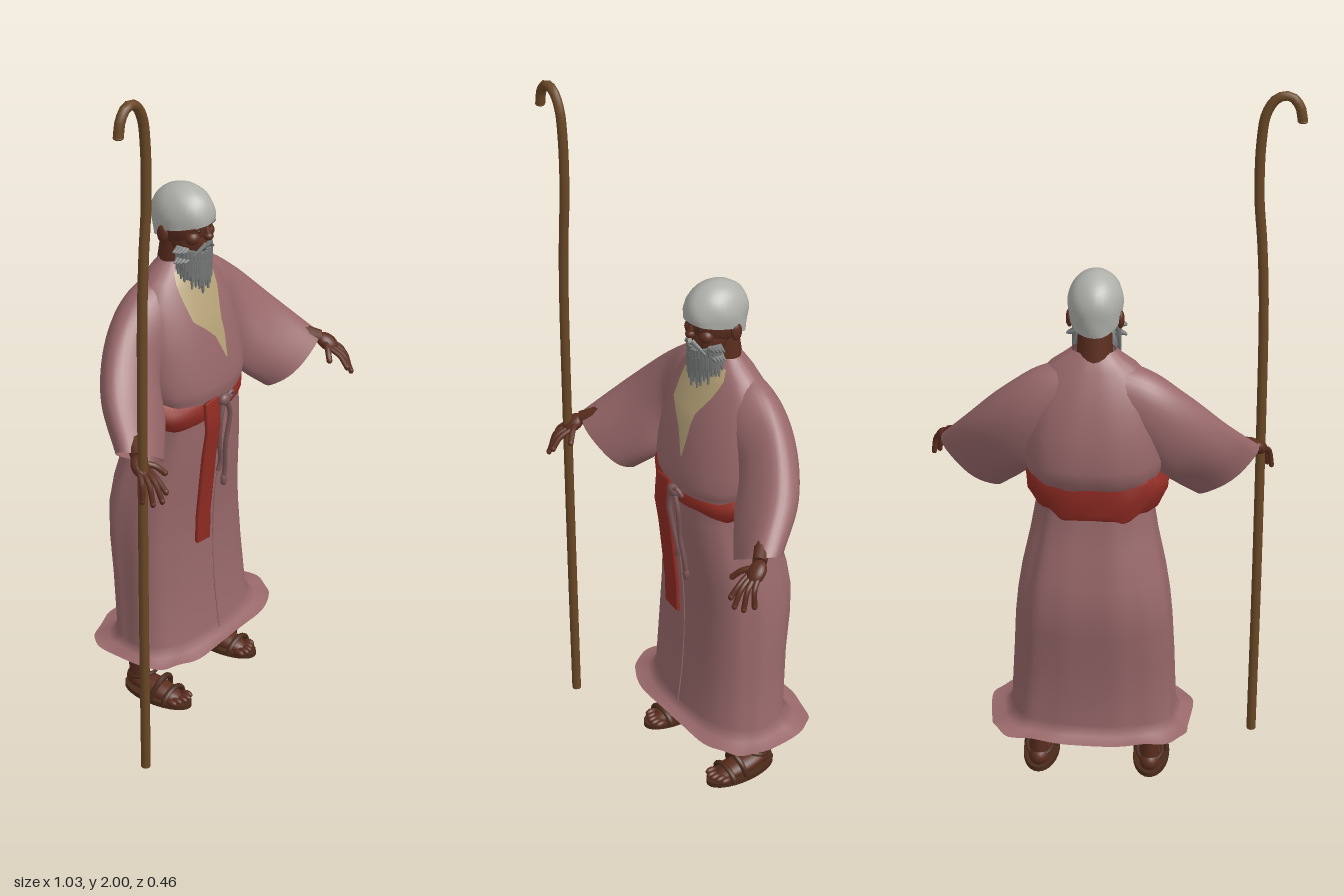
import * as THREE from 'three';

const V = (x, y, z) => new THREE.Vector3(x, y, z);
const CX = 0.03; // mid line of the body
const mat = (name, color, side = THREE.FrontSide) => {
  const m = new THREE.MeshStandardMaterial({ color, side });
  m.name = name;
  return m;
};

// Surface through rings of points; rings turn from +x to +z when stacked upward.
function loft(rings) {
  const n = rings[0].length, idx = [];
  for (let r = 0; r < rings.length - 1; r++) {
    for (let i = 0; i < n; i++) {
      const a = r * n + i, c = r * n + (i + 1) % n;
      idx.push(a, a + n, c, c, a + n, c + n);
    }
  }
  const g = new THREE.BufferGeometry().setFromPoints(rings.flat());
  g.setIndex(idx);
  g.computeVertexNormals();
  return g;
}
const pw = (v, n) => Math.sign(v) * Math.abs(v) ** (2 / n);
const ring = (count, fn) => Array.from({ length: count }, (_, i) => fn((i / count) * Math.PI * 2));

// Robe outline: y, x min, x max, z min, z max, squareness
const ROBE = [
  [0.18, -0.248, 0.328, -0.226, 0.13, 3.2], [0.187, -0.215, 0.29, -0.195, 0.102, 2.8], [0.21, -0.2, 0.268, -0.175, 0.083, 2.5],
  [0.4, -0.195, 0.255, -0.19, 0.07, 2.5], [0.52, -0.19, 0.248, -0.208, 0.066, 2.5], [0.6, -0.183, 0.24, -0.215, 0.068, 2.5],
  [0.68, -0.17, 0.228, -0.205, 0.076, 2.5], [0.78, -0.147, 0.207, -0.182, 0.088, 2.5], [0.88, -0.13, 0.19, -0.16, 0.094, 2.5],
  [0.95, -0.13, 0.19, -0.165, 0.09, 2.5], [0.975, -0.145, 0.205, -0.18, 0.099, 2.5], [1.0, -0.155, 0.215, -0.195, 0.1, 2.5],
  [1.04, -0.162, 0.222, -0.206, 0.095, 2.4], [1.12, -0.162, 0.222, -0.197, 0.08, 2.25], [1.2, -0.15, 0.21, -0.177, 0.055, 2.1],
  [1.26, -0.125, 0.185, -0.15, 0.026, 2], [1.3, -0.09, 0.15, -0.13, 0.006, 2], [1.325, -0.055, 0.115, -0.115, -0.008, 2],
  [1.345, -0.03, 0.09, -0.1, -0.02, 2],
];
function section(y) {
  let i = 0;
  while (i < ROBE.length - 2 && ROBE[i + 1][0] < y) i++;
  const p = ROBE[i], q = ROBE[i + 1], t = (y - p[0]) / (q[0] - p[0]);
  const [, x0, x1, z0, z1, n] = p.map((v, k) => v + (q[k] - v) * t);
  return { cx: (x0 + x1) / 2, rx: (x1 - x0) / 2, cz: (z0 + z1) / 2, rz: (z1 - z0) / 2, n };
}
// Depth of the robe's front at a given x and y
function frontZ(x, y) {
  const s = section(y), u = Math.min(1, Math.abs((x - s.cx) / s.rx));
  return s.cz + s.rz * (1 - u ** s.n) ** (1 / s.n);
}

export function createModel() {
  const root = new THREE.Group();
  const robe = mat('dusty rose robe', 0x98686a, THREE.DoubleSide);
  const sash = mat('red sash', 0x902b23, THREE.DoubleSide);
  const tunic = mat('tan undershirt', 0xb3a076, THREE.DoubleSide);
  const skin = mat('brown skin', 0x5b2d1e);
  const hair = mat('light grey hair', 0xafb0aa, THREE.DoubleSide);
  const beard = mat('grey beard', 0x777b79);
  const dark = mat('dark eyes', 0x2e2622);
  const wood = mat('staff wood', 0x6a4826);
  const leather = mat('sandal leather', 0x4a2a1a);
  const cord = mat('rose grey cord', 0x7a5556);

  const add = (name, geo, material, parent = root) => {
    const m = new THREE.Mesh(geo, material);
    m.name = name;
    parent.add(m);
    return m;
  };
  const ball = (name, m, p, s, parent) => {
    const b = add(name, new THREE.SphereGeometry(1, 20, 14), m, parent);
    b.position.set(...p);
    b.scale.set(...s);
    return b;
  };
  const tube = (name, pts, r, m, parent, seg = 24) =>
    add(name, new THREE.TubeGeometry(new THREE.CatmullRomCurve3(pts), seg, r, 8), m, parent);
  // Tapered rod between two points
  const rod = (name, a, b, ra, rb, m, parent, sides = 10) => {
    const r = add(name, new THREE.CylinderGeometry(rb, ra, a.distanceTo(b), sides), m, parent);
    r.position.copy(a).lerp(b, 0.5);
    r.quaternion.setFromUnitVectors(V(0, 1, 0), b.clone().sub(a).normalize());
    return r;
  };

  // Robe with soft folds, mostly at the sides and back, and a squarer hem
  add('robe', loft(ROBE.map(([y]) => ring(80, (a) => {
    const s = section(y), low = y < 0.9 ? 1 : 0.5;
    const f = 1 + low * (0.014 * Math.sin(7 * a + y * 3) + 0.008 * Math.sin(13 * a)) * (1 - 0.85 * Math.max(0, Math.sin(a)));
    const hem = y < 0.185 ? 0.004 * Math.sin(9 * a) : 0;
    return V(s.cx + s.rx * f * pw(Math.cos(a), s.n), y + hem, s.cz + s.rz * f * pw(Math.sin(a), s.n));
  }))), robe);
  const seam = [0.2, 0.35, 0.5, 0.65, 0.78, 0.88].map((y) => V(0.025, y, frontZ(0.025, y) + 0.001));
  tube('robeSeam', seam, 0.002, robe);

  // Undershirt showing in the open collar
  const NECK = [[1.07, 0.048, 0.052], [1.14, 0.018, 0.06], [1.17, -0.012, 0.06], [1.2, -0.046, 0.066],
    [1.25, -0.051, 0.095], [1.28, -0.051, 0.105], [1.3, -0.048, 0.108], [1.325, -0.035, 0.095]];
  const cols = 10, pos = [], idx = [];
  NECK.forEach(([y, l, r], j) => {
    for (let i = 0; i <= cols; i++) {
      const x = l + ((r - l) * i) / cols, k = j * (cols + 1) + i;
      pos.push(V(x, y, frontZ(x, y) + 0.005));
      if (j && i) idx.push(k - cols - 2, k - cols - 1, k, k - cols - 2, k, k - 1);
    }
  });
  const shirt = new THREE.BufferGeometry().setFromPoints(pos);
  shirt.setIndex(idx);
  shirt.computeVertexNormals();
  add('undershirt', shirt, tunic);

  // Waist sash, taller and more rumpled at the back, with a hanging end
  const BELT = [[0, 0.15, 0.122], [0.15, 0.172, 0.131], [0.5, 0.192, 0.136], [0.85, 0.197, 0.136], [1, 0.165, 0.125]];
  add('waistSash', loft(BELT.map(([t, rx, rz]) => ring(72, (a) => {
    const back = (1 - Math.sin(a)) / 2, lo = 0.888 - 0.02 * back, hi = 0.962 + 0.048 * back;
    const f = 1 + 0.022 * back * Math.sin(11 * a + t * 9);
    const wave = (0.003 + 0.004 * back) * Math.sin(7 * a);
    return V(0.022 + rx * f * pw(Math.cos(a), 2.4), lo + (hi - lo) * t + wave, -0.042 + rz * f * pw(Math.sin(a), 2.4));
  }))), sash);
  const tail = [0.51, 0.515, 0.6, 0.7, 0.8, 0.88, 0.92, 0.965, 0.97];
  add('sashEnd', loft(tail.map((y, j) => ring(16, (a) => {
    const edge = j === 0 || j === tail.length - 1 ? 0.02 : 1;
    const x = -0.028 + 0.03 * pw(Math.cos(a), 5);
    return V(x, y - (y < 0.52 ? 0.006 * Math.cos(a) : 0),
      frontZ(-0.028, y) + 0.006 + (y > 0.87 && y < 0.965 ? 0.008 : 0) + 0.007 * edge * pw(Math.sin(a), 5));
  }))), sash);

  // Cord tied over the sash
  const hang = (pts) => pts.map(([x, y]) => V(x, y, frontZ(x, y) + (y > 0.87 ? 0.013 : 0.006)));
  tube('cordEnd', hang([[0.022, 0.955], [0.008, 0.9], [0.014, 0.82], [0.028, 0.75], [0.022, 0.72]]), 0.007, cord);
  tube('cordEnd', hang([[0.03, 0.955], [0.05, 0.9], [0.045, 0.8], [0.055, 0.72], [0.055, 0.66]]), 0.007, cord);
  ball('cordTassel', cord, [0.055, 0.675, frontZ(0.055, 0.675) + 0.007], [0.01, 0.02, 0.009]);
  ball('cordKnot', cord, [0.026, 0.95, 0.104], [0.02, 0.018, 0.014]);
  tube('cordBow', hang([[0.026, 0.95], [0.05, 0.968], [0.065, 0.95], [0.026, 0.945]]), 0.006, cord);

  // Arms: wide open sleeves, forearms and hands
  for (const s of [1, -1]) {
    const arm = new THREE.Group();
    arm.name = s > 0 ? 'leftArm' : 'rightArm';
    root.add(arm);
    const P = (d, y, z) => V(CX + s * d, y, z);
    const top = new THREE.CatmullRomCurve3([V(0.03, 1.32, -0.07), V(0.15, 1.287, -0.072), V(0.25, 1.213, -0.055), V(0.352, 1.1, 0.005), V(0.435, 0.985, 0.115)]);
    const low = new THREE.CatmullRomCurve3([V(0.05, 1.12, -0.065), V(0.14, 1.03, -0.06), V(0.175, 0.975, -0.05), V(0.212, 0.92, 0), V(0.275, 0.86, 0.045)]);
    const wide = new THREE.CatmullRomCurve3([V(0, 0, -0.075), V(0.012, 0, -0.08), V(0.03, 0, -0.068), V(0.045, 0, -0.06), V(0.035, 0.005, -0.05)]);
    const rings = [];
    for (let j = 0; j <= 24; j++) {
      const t = j / 24, a0 = top.getPoint(t), b0 = low.getPoint(t), w = wide.getPoint(t);
      const c = a0.clone().lerp(b0, 0.5), u = a0.sub(c);
      rings.push(ring(36, (a) => {
        const f = 1 + 0.025 * t * Math.sin(5 * a + 4 * t);
        const p = c.clone().addScaledVector(u, Math.cos(a) * f).addScaledVector(w, s * Math.sin(a) * f);
        return P(p.x, p.y, p.z);
      }));
    }
    add('sleeve', loft(rings), robe, arm);
    rod('forearm', P(0.33, 1.02, 0.03), P(0.425, 0.972, 0.128), 0.03, 0.02, skin, arm);
    const palm = ball('palm', skin, [CX + s * 0.438, 0.955, 0.146], [0.026, 0.02, 0.036], arm);
    palm.rotation.set(0.65, s * 0.4, 0);
    const tips = [[0.478, 0.882, 0.182], [0.466, 0.876, 0.208], [0.447, 0.882, 0.224], [0.428, 0.9, 0.222]];
    tips.forEach(([d, y, z], i) => {
      const k = 0.455 - i * 0.011;
      tube('finger', [P(k, 0.95, 0.153), P((k + d) / 2 + 0.004, 0.928, (0.16 + z) / 2 + 0.006), P(d, y, z)], 0.0075, skin, arm, 8);
      ball('fingertip', skin, P(d, y, z).toArray(), [0.0075, 0.009, 0.0075], arm);
    });
    tube('thumb', [P(0.43, 0.962, 0.14), P(0.405, 0.95, 0.17), P(0.388, 0.928, 0.188)], 0.0085, skin, arm, 8);
    ball('thumbTip', skin, P(0.388, 0.928, 0.188).toArray(), [0.0085, 0.0085, 0.0085], arm);

    // Legs and sandals
    const leg = new THREE.Group();
    leg.name = s > 0 ? 'leftLeg' : 'rightLeg';
    leg.position.x = CX + s * 0.16;
    root.add(leg);
    const shin = rod('shin', V(0, 0.04, -0.08), V(0, 0.4, -0.07), 0.03, 0.052, skin, leg, 16);
    shin.scale.x = 0.85;
    ball('heel', skin, [0, 0.042, -0.082], [0.03, 0.032, 0.038], leg);
    ball('foot', skin, [0, 0.032, -0.02], [0.038, 0.026, 0.095], leg).rotation.x = 0.16;
    for (let i = -2; i <= 2; i++) ball('toe', skin, [i * 0.016, 0.024, 0.078 - Math.abs(i + s * 0.6) * 0.007], [0.009, 0.01, 0.018], leg);
    const sole = add('sandalSole', new THREE.CylinderGeometry(1, 1, 1, 28), leather, leg);
    sole.scale.set(0.052, 0.014, 0.114);
    sole.position.set(0, 0.014, -0.012);
    for (const [z, h, tilt] of [[0.04, 0.034, 0.1], [-0.005, 0.06, 0.25]]) {
      const strap = add('sandalStrap', new THREE.TorusGeometry(1, 0.17, 8, 20, Math.PI), leather, leg);
      strap.scale.set(0.045, h, 0.05);
      strap.position.set(0, 0.018, z);
      strap.rotation.x = tilt;
    }
    const heelStrap = add('heelStrap', new THREE.TorusGeometry(0.04, 0.006, 8, 24), leather, leg);
    heelStrap.scale.x = 0.9;
    heelStrap.rotation.x = Math.PI / 2 - 0.35;
    heelStrap.position.set(0, 0.064, -0.066);
  }

  // Head
  const head = new THREE.Group();
  head.name = 'head';
  head.position.set(0.027, 0, 0);
  root.add(head);
  rod('neck', V(0, 1.27, -0.07), V(0, 1.42, -0.055), 0.052, 0.044, skin, head, 20);
  ball('skull', skin, [0, 1.455, -0.034], [0.064, 0.08, 0.079], head);
  ball('jaw', skin, [0, 1.41, -0.016], [0.053, 0.058, 0.056], head);
  ball('nose', skin, [0, 1.427, 0.046], [0.013, 0.012, 0.014], head);
  rod('noseBridge', V(0, 1.428, 0.048), V(0, 1.462, 0.038), 0.01, 0.007, skin, head);
  for (const s of [1, -1]) {
    ball('ear', skin, [s * 0.068, 1.43, -0.055], [0.01, 0.026, 0.017], head);
    ball('cheek', skin, [s * 0.032, 1.425, 0.018], [0.022, 0.02, 0.02], head);
    ball('browRidge', skin, [s * 0.026, 1.458, 0.032], [0.022, 0.008, 0.012], head);
    ball('eye', dark, [s * 0.025, 1.447, 0.035], [0.008, 0.004, 0.004], head);
    rod('moustache', V(s * 0.004, 1.404, 0.043), V(s * 0.046, 1.378, 0.03), 0.008, 0.003, beard, head, 6);
  }

  // Cropped hair, short over the brow and longer at the nape
  const hairRings = [];
  for (let j = 14; j >= 0; j--) {
    hairRings.push(ring(32, (a) => {
      const f = Math.sin(a), end = f > 0 ? 1.92 - 0.22 * f : 1.92 - 0.73 * f;
      const th = (j / 14) * end, over = Math.max(0, th - Math.PI / 2);
      const r = Math.sin(Math.min(th, Math.PI / 2)) * (1 - 0.1 * over) * (1 + 0.015 * Math.sin(6 * a + 5 * th));
      return V(0.074 * r * Math.cos(a), 1.475 + 0.084 * Math.cos(th), -0.037 + 0.093 * r * f);
    }));
  }
  add('hair', loft(hairRings), hair, head);

  // Beard: a core wrapped in layered strands
  ball('beardCore', beard, [0, 1.342, -0.002], [0.058, 0.062, 0.036], head);
  for (let layer = 0; layer < 2; layer++) {
    for (let i = 0; i <= 16; i++) {
      const p = ((i + layer * 0.5) / 16.5 - 0.5) * 3.3, sx = Math.sin(p), cz = Math.cos(p), e = Math.abs(sx);
      const drop = 0.01 * Math.sin(i * 2.4 + layer);
      const a = V(0.056 * sx, 1.374 + 0.022 * e - layer * 0.025, -0.008 + 0.04 * cz);
      const b = V(0.064 * sx, 1.266 + 0.05 * e * e + drop + (1 - layer) * 0.022, -0.008 + 0.045 * cz);
      rod('beardStrand', a, b, 0.011, 0.003, beard, head, 6);
      if (e > 0.8) rod('beardTuft', a, V(0.082 * sx, 1.392 - layer * 0.03, a.z), 0.01, 0.002, beard, head, 6);
    }
  }

  // Shepherd's staff with a hooked top
  const staff = [[-0.415, 0], [-0.417, 0.5], [-0.416, 1], [-0.412, 1.4], [-0.403, 1.57], [-0.392, 1.7], [-0.393, 1.86], [-0.405, 1.94],
    [-0.432, 1.98], [-0.465, 1.986], [-0.49, 1.96], [-0.499, 1.918]].map(([x, y]) => V(x, y, 0.16));
  tube('staff', staff, 0.0135, wood, root, 120);
  const base = add('staffEnd', new THREE.CircleGeometry(0.0135, 12), wood);
  base.rotation.x = Math.PI / 2;
  base.position.set(-0.415, 0.0005, 0.16);
  ball('staffTip', wood, [-0.499, 1.918, 0.16], [0.0135, 0.006, 0.0135]);
  return root;
}
